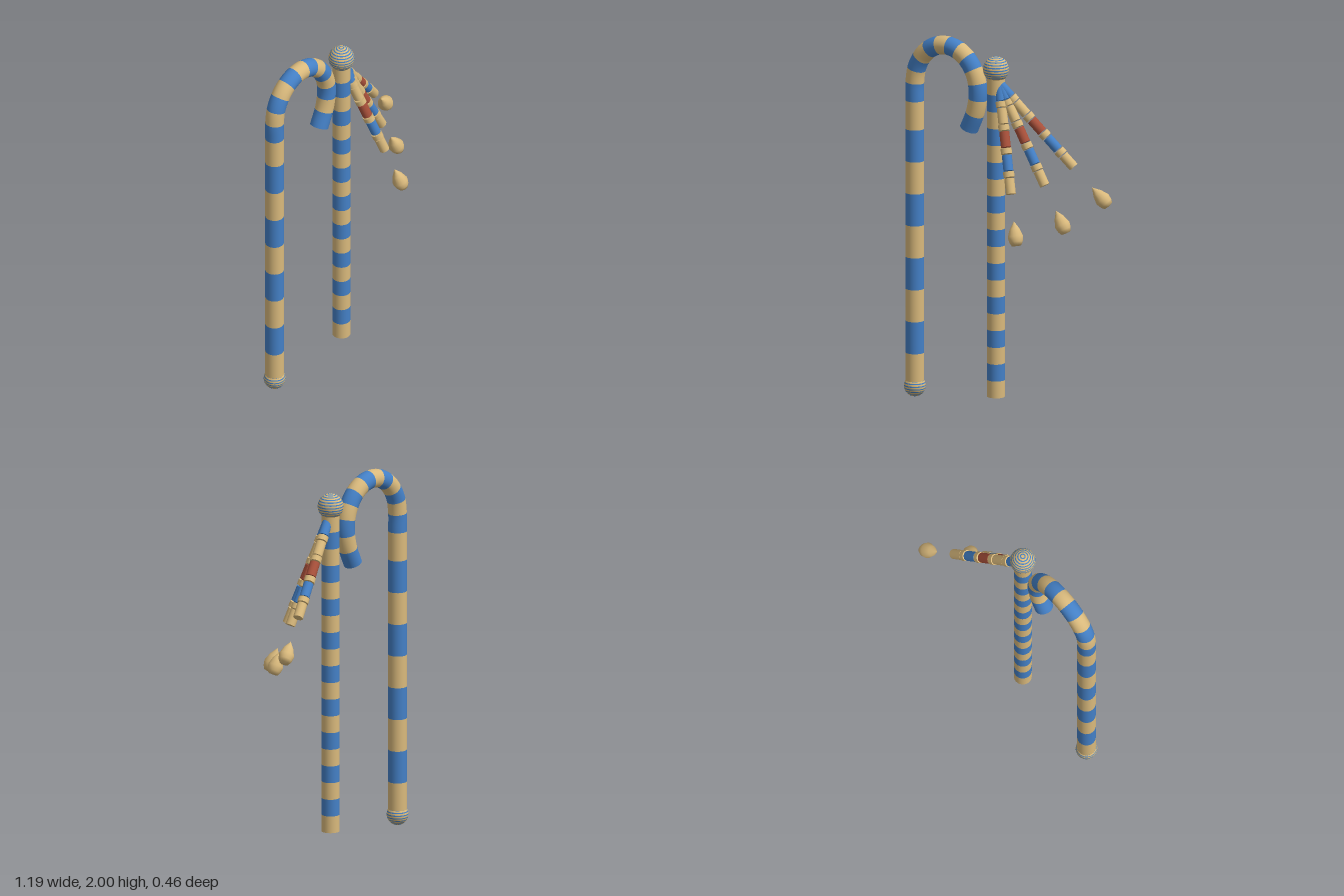
import * as THREE from 'three';

const mat = (name, color, side = THREE.FrontSide) => {
  const m = new THREE.MeshStandardMaterial({ color, side });
  m.name = name;
  return m;
};

export function createModel() {
  const gold = mat('gold', 0xd9b97c);
  const blue = mat('blue', 0x4480c6);
  const red = mat('red', 0xa8503a);

  const group = (name, parent) => {
    const g = new THREE.Group();
    g.name = name;
    parent.add(g);
    return g;
  };
  const add = (parent, name, geometry, material, x = 0, y = 0, z = 0) => {
    const m = new THREE.Mesh(geometry, material);
    m.name = name;
    m.position.set(x, y, z);
    parent.add(m);
    return m;
  };

  // Ball made of thin gold and blue rings
  const bandedBall = (parent, name, r, x, y, bands) => {
    const ball = group(name, parent);
    const step = Math.PI / bands;
    for (let i = 0; i < bands; i++) {
      const split = step * 0.6;
      add(ball, 'goldRing', new THREE.SphereGeometry(r, 32, 2, 0, Math.PI * 2, i * step, split), gold, x, y);
      add(ball, 'blueRing', new THREE.SphereGeometry(r, 32, 1, 0, Math.PI * 2, i * step + split, step - split), blue, x, y);
    }
  };

  const model = new THREE.Group();
  model.name = 'crookAndFlail';

  // Crook: straight shaft, elliptical arch and a tail curling inward
  const crook = group('crook', model);
  const pts = [0.065, 0.7, 1.4, 1.62].map(y => new THREE.Vector3(-0.537, y, 0));
  for (let i = 0; i <= 8; i++) {
    const a = Math.PI * (1 - i / 8);
    pts.push(new THREE.Vector3(-0.332 + 0.205 * Math.cos(a), 1.72 + 0.23 * Math.sin(a), 0));
  }
  pts.push(new THREE.Vector3(-0.143, 1.615, 0), new THREE.Vector3(-0.185, 1.515, 0));
  const path = new THREE.CatmullRomCurve3(pts);
  path.arcLengthDivisions = 2000;
  const total = path.getLength();

  class Stretch extends THREE.Curve {
    constructor(a, b) {
      super();
      this.a = a;
      this.b = b;
    }
    getPoint(t, target = new THREE.Vector3()) {
      const u = (this.a + (this.b - this.a) * t) / total;
      return path.getPointAt(Math.min(1, u), target);
    }
  }

  // Stripe boundaries along the crook: long on the shaft, short on the arch
  const stops = [];
  for (let i = 0; i <= 8; i++) stops.push(i * 0.175);
  stops.push(1.555, 1.655, 1.73, 1.805, 1.88, 1.95, 2.015, 2.08, 2.145, 2.215, 2.29, 2.375, 2.46, total);
  for (let i = 0; i < stops.length - 1; i++) {
    const straight = stops[i + 1] < 1.5;
    const geo = new THREE.TubeGeometry(new Stretch(stops[i], stops[i + 1]), straight ? 1 : 6, 0.05, 24);
    add(crook, 'crookStripe', geo, i % 2 ? blue : gold);
  }
  const tip = add(crook, 'crookTipCap', new THREE.CircleGeometry(0.05, 24), gold);
  tip.position.copy(path.getPointAt(1));
  tip.lookAt(tip.position.clone().add(path.getTangentAt(1)));
  bandedBall(crook, 'crookFoot', 0.058, -0.537, 0.058, 12);

  // Flail handle: even stripes with a ball on top
  const flail = group('flail', model);
  const bands = 19, bandH = 0.0921;
  for (let i = 0; i < bands; i++) {
    const open = i > 0;
    add(flail, 'handleStripe', new THREE.CylinderGeometry(0.048, 0.048, bandH, 24, 1, open),
      i % 2 ? blue : gold, -0.01, 0.0735 + bandH * (i + 0.5));
  }
  bandedBall(flail, 'handleBall', 0.069, -0.01, 1.865, 14);

  // Beaded strands, each built downward along its own axis
  const beads = [blue, gold, red, blue, gold];
  const drop = [[0, 0.876], [0.026, 0.873], [0.036, 0.855], [0.042, 0.826], [0.027, 0.784], [0, 0.742]]
    .map(([r, d]) => new THREE.Vector2(r, -d));
  const strands = [[0.235, -0.76, 0.185], [0.407, -0.71, 0], [0.53, -0.59, -0.19]];
  for (const dir of strands) {
    const strand = group('strand', flail);
    strand.position.set(0.01, 1.79, 0);
    strand.quaternion.setFromUnitVectors(new THREE.Vector3(0, -1, 0), new THREE.Vector3(...dir).normalize());
    beads.forEach((m, i) => {
      const d = 0.05 + i * 0.126;
      add(strand, 'bead', new THREE.CylinderGeometry(0.027, 0.027, 0.084, 16), m, 0, -d);
      if (i < 4) add(strand, 'spacerRing', new THREE.CylinderGeometry(0.03, 0.03, 0.03, 16), gold, 0, -d - 0.063);
    });
    add(strand, 'pendantDrop', new THREE.LatheGeometry(drop, 16), gold);
  }

  return model;
}
